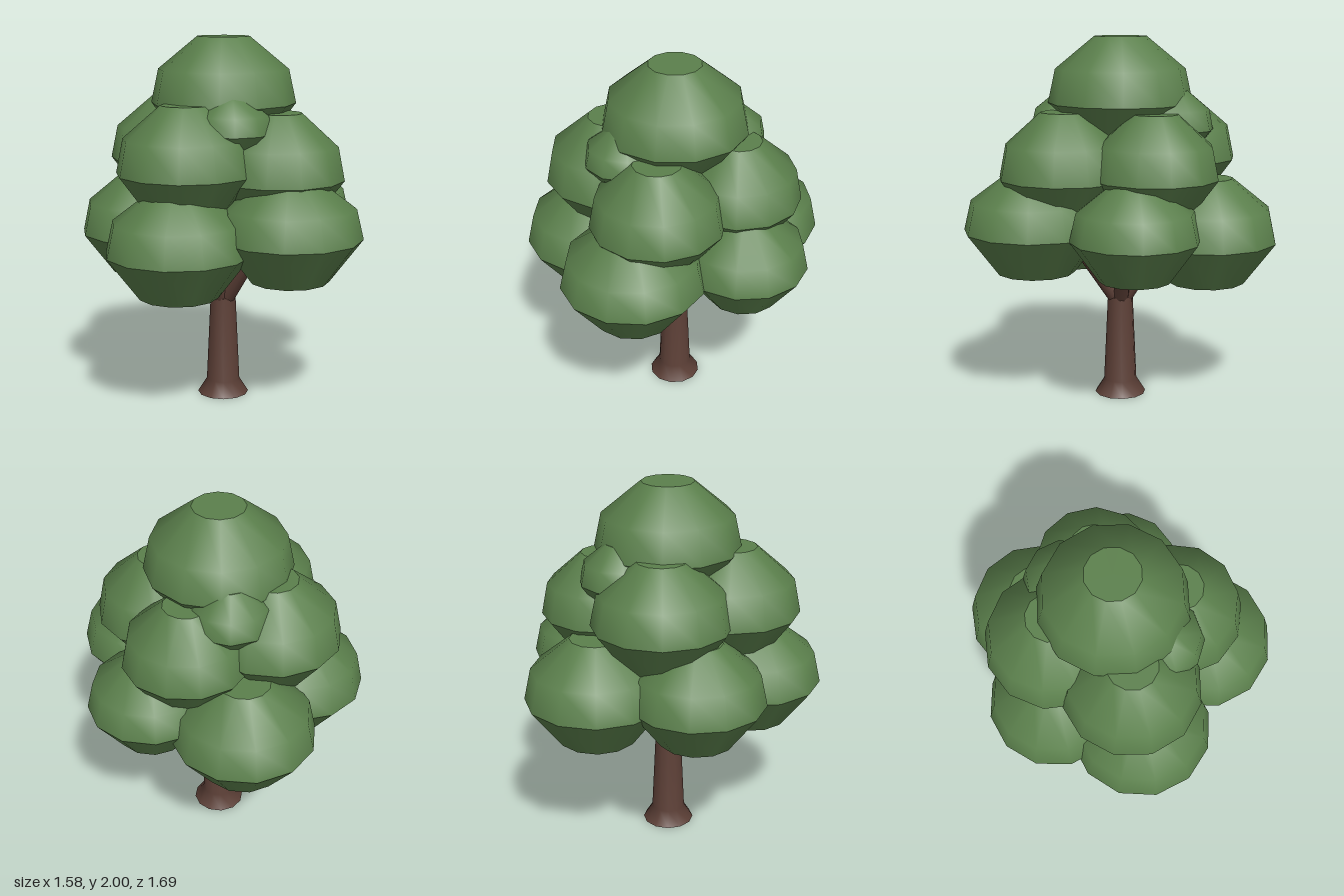
import * as THREE from 'three';
import { mergeGeometries } from 'three/addons/utils/BufferGeometryUtils.js';

const leafGreen = new THREE.MeshStandardMaterial({ color: 0x5b804c });
leafGreen.name = 'leafGreen';
const barkBrown = new THREE.MeshStandardMaterial({ color: 0x5d4037 });
barkBrown.name = 'barkBrown';

// Lathes each band separately, so edges between bands stay sharp
function bandedLathe(bands, sides, phase) {
  return mergeGeometries(bands.map((band) => new THREE.LatheGeometry(
    band.map(([r, y]) => new THREE.Vector2(r, y)), sides, phase)));
}

// Leaf clump: flat base, flaring skirt, smooth dome, flat top
function clump({ r, bottom, wide, top, phase, sides = 12 }) {
  const base = [r * 0.55, bottom];
  const rim = [r, wide];
  const shoulder = [r * 0.9, wide + (top - wide) * 0.51];
  const cap = [r * 0.36, top];
  return bandedLathe([
    [[0, bottom], base], [base, rim], [rim, shoulder, cap], [cap, [0, top]],
  ], sides, THREE.MathUtils.degToRad(phase));
}

const lowerClumps = [
  { name: 'lowerClumpFront', x: 0.11, z: 0.46, r: 0.385, bottom: 0.745, wide: 0.975, top: 1.29, phase: 22 },
  { name: 'lowerClumpRight', x: -0.41, z: 0.2, r: 0.385, bottom: 0.67, wide: 0.9, top: 1.23, phase: 21 },
  { name: 'lowerClumpLeft', x: 0.45, z: -0.04, r: 0.34, bottom: 0.765, wide: 0.975, top: 1.27, phase: 0 },
  { name: 'lowerClumpBack', x: 0.16, z: -0.465, r: 0.383, bottom: 0.68, wide: 0.91, top: 1.25, phase: 3 },
  { name: 'lowerClumpBackRight', x: -0.34, z: -0.28, r: 0.367, bottom: 0.705, wide: 0.925, top: 1.26, phase: 23 },
];
const upperClumps = [
  { name: 'middleClumpRight', x: -0.32, z: 0.13, r: 0.37, bottom: 1.08, wide: 1.305, top: 1.66, phase: 25 },
  { name: 'middleClumpFront', x: 0.14, z: 0.3, r: 0.355, bottom: 1.05, wide: 1.26, top: 1.61, phase: 17 },
  { name: 'middleClumpLeft', x: 0.3, z: -0.16, r: 0.34, bottom: 1.07, wide: 1.275, top: 1.61, phase: 7 },
  { name: 'middleClumpBack', x: -0.14, z: -0.3, r: 0.37, bottom: 1.1, wide: 1.325, top: 1.67, phase: 1 },
  { name: 'smallClumpFront', x: -0.12, z: 0.25, r: 0.22, bottom: 1.38, wide: 1.515, top: 1.7, phase: 10, sides: 10 },
  { name: 'smallClumpBack', x: 0.115, z: -0.28, r: 0.22, bottom: 1.38, wide: 1.51, top: 1.715, phase: 0, sides: 10 },
  { name: 'topClump', x: -0.01, z: -0.013, r: 0.392, bottom: 1.41, wide: 1.645, top: 2, phase: 26 },
];

export function createModel() {
  const tree = new THREE.Group();
  tree.name = 'tree';
  const add = (name, geometry, material) => {
    const mesh = new THREE.Mesh(geometry, material);
    mesh.name = name;
    tree.add(mesh);
    return mesh;
  };

  // Trunk with flared foot
  const foot = [0.142, 0], ankle = [0.092, 0.08], neck = [0.07, 0.56];
  add('trunk', bandedLathe([
    [[0, 0], foot], [foot, ankle, neck], [neck, [0, 0.56]],
  ], 12, 0).translate(-0.013, 0, -0.013), barkBrown);

  // One branch reaching toward each lower clump
  const up = new THREE.Vector3(0, 1, 0);
  lowerClumps.forEach(({ x, z }, i) => {
    const start = new THREE.Vector3(-0.013, 0.52, -0.013);
    const end = new THREE.Vector3(x * 0.47, 0.85, z * 0.47);
    const dir = end.clone().sub(start);
    const branch = add('branch' + (i + 1),
      new THREE.CylinderGeometry(0.034, 0.045, dir.length(), 10), barkBrown);
    branch.position.copy(start).add(end).multiplyScalar(0.5);
    branch.quaternion.setFromUnitVectors(up, dir.normalize());
  });

  // Crown
  for (const c of [...lowerClumps, ...upperClumps]) {
    add(c.name, clump(c), leafGreen).position.set(c.x, 0, c.z);
  }
  return tree;
}
